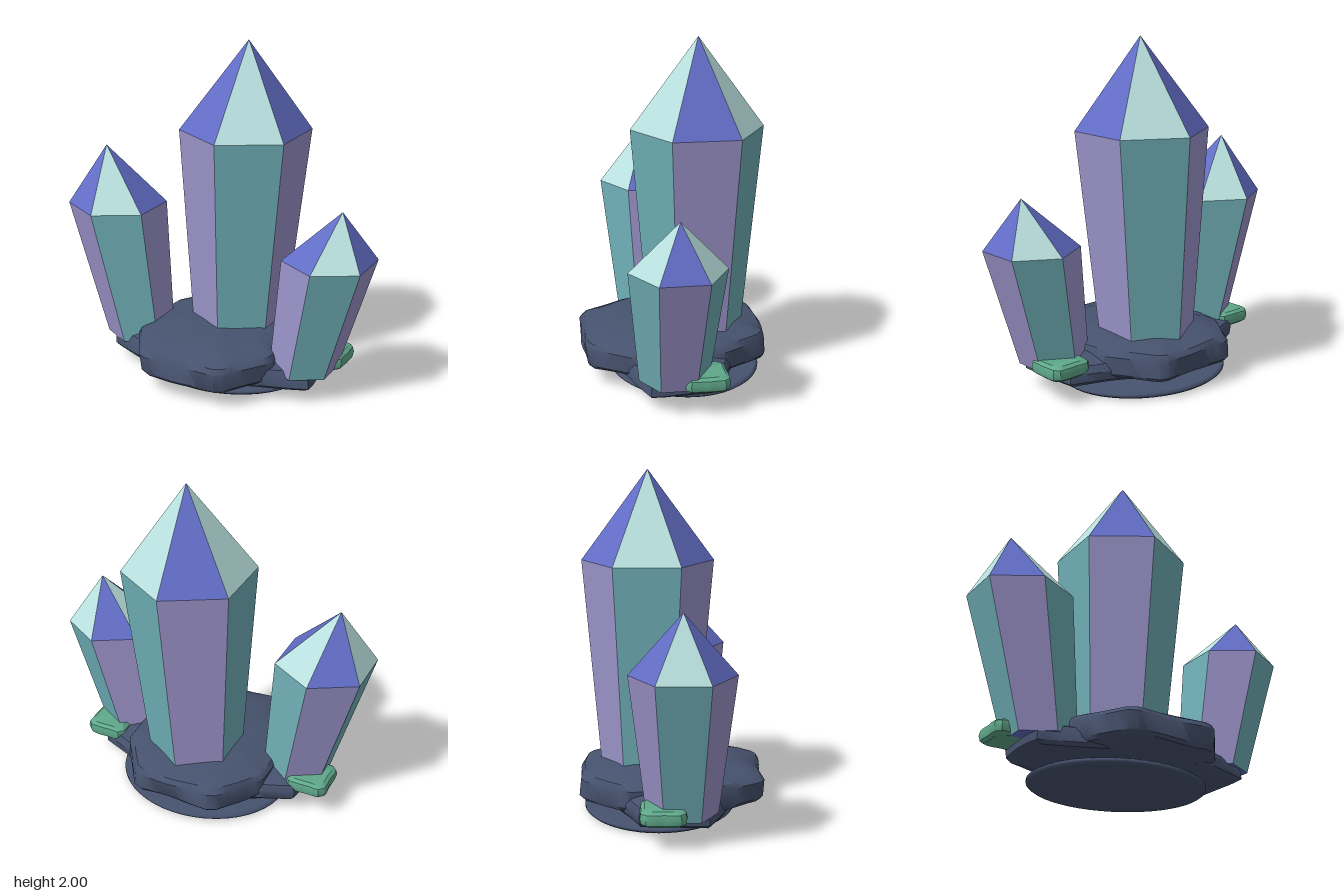
import * as THREE from 'three';
import { mergeVertices, toCreasedNormals } from 'three/addons/utils/BufferGeometryUtils.js';

const paint = (color, flatShading = false) => new THREE.MeshStandardMaterial({ color, flatShading });
const mats = {
  rock: paint(0x46526e), moss: paint(0x5fa88c),
  teal: paint(0x70b0b8, true), violet: paint(0x9d95cc, true),
  pale: paint(0xb8e0de, true), blue: paint(0x626dc6, true),
};

function mesh(name, geometry, material) {
  const m = new THREE.Mesh(geometry, material);
  m.name = name;
  return m;
}

function facets(name, points, material) {
  const g = new THREE.BufferGeometry().setFromPoints(points);
  g.computeVertexNormals();
  return mesh(name, g, material);
}

// Hexagonal crystal: tapered shaft, pointed tip, facets alternating in colour
function crystal(name, base, baseR, shoulder, shoulderR, apex) {
  const group = new THREE.Group();
  group.name = name;
  const ring = ([x, y, z], r) => Array.from({ length: 6 }, (_, k) => {
    const a = k * Math.PI / 3;
    return new THREE.Vector3(x + r * Math.sin(a), y, z + r * Math.cos(a));
  });
  const low = ring(base, baseR), high = ring(shoulder, shoulderR);
  const tip = new THREE.Vector3(...apex), foot = new THREE.Vector3(...base);
  const shaft = [[], []], point = [[], []], bottom = [];
  for (let k = 0; k < 6; k++) {
    const n = (k + 1) % 6, s = k % 2;
    shaft[s].push(low[k], low[n], high[n], low[k], high[n], high[k]);
    point[s].push(high[k], high[n], tip);
    bottom.push(low[n], low[k], foot);
  }
  group.add(
    facets('tealShaftFacets', shaft[0], mats.teal),
    facets('violetShaftFacets', shaft[1], mats.violet),
    facets('paleTipFacets', point[0], mats.pale),
    facets('blueTipFacets', point[1], mats.blue),
    facets('crystalFoot', bottom, mats.blue),
  );
  return group;
}

// Turned profile whose outline is reshaped by a rule outline(angle, y) -> radius
function slab(name, profile, segments, outline, material, crease) {
  const lathe = new THREE.LatheGeometry(profile.map(p => new THREE.Vector2(...p)), segments);
  lathe.deleteAttribute('uv');
  lathe.deleteAttribute('normal');
  const p = lathe.attributes.position;
  for (let i = 0; i < p.count; i++) {
    const x = p.getX(i), y = p.getY(i), z = p.getZ(i);
    const a = Math.atan2(x, z), r = Math.hypot(x, z), s = outline(a, y);
    const bump = 0.01 * r * Math.sin(3 * a + 1) * Math.cos(2 * a + 9 * r);
    p.setXYZ(i, x * s, y + (material === mats.rock ? bump : 0), z * s);
  }
  return mesh(name, toCreasedNormals(mergeVertices(lathe, 1e-4), crease), material);
}

// Radius of an eight-sided outline given its x side, z side and diagonal reach
const octagon = (hx, hz, diagonal, nx, nz) => (a, y) => {
  const s = Math.abs(Math.sin(a)), c = Math.abs(Math.cos(a));
  const r = Math.min(hx / Math.max(s, 1e-6), hz / Math.max(c, 1e-6), diagonal / (s * nx + c * nz));
  return r * (1 + 0.012 * Math.sin(5 * a + 20 * y) + 0.008 * Math.sin(9 * a - 30 * y));
};

export function createModel() {
  const model = new THREE.Group();
  model.name = 'crystalCluster';

  // Rock base: thin disc, wide lower boulder, tall upper boulder
  const disc = mesh('baseDisc', new THREE.LatheGeometry(
    [[0, 0], [0.97, 0.004], [1, 0.015], [1, 0.028], [0.97, 0.04], [0, 0.05]].map(p => new THREE.Vector2(...p)), 48), mats.rock);
  disc.scale.set(0.52, 1, 0.445);
  disc.position.set(0.01, 0, -0.075);
  const lower = slab('lowerBoulder',
    [[0, 0.04], [0.4, 0.04], [0.7, 0.05], [0.96, 0.08], [1, 0.1], [1, 0.15], [0.95, 0.19], [0.6, 0.24], [0, 0.25]],
    64, octagon(0.65, 0.34, 0.34, 0.3, 0.75), mats.rock, 0.6);
  lower.position.set(0.01, 0, 0.01);
  const upper = slab('upperBoulder',
    [[0, 0.04], [0.5, 0.045], [0.8, 0.08], [0.97, 0.11], [1, 0.13], [1, 0.23], [0.96, 0.26], [0.8, 0.29], [0.58, 0.315], [0, 0.315]],
    64, octagon(0.45, 0.53, 0.5, 0.8, 0.56), mats.rock, 0.6);
  model.add(disc, lower, upper);

  // Three crystals
  model.add(
    crystal('mainCrystal', [0.035, 0.15, -0.14], 0.27, [0.075, 1.475, -0.14], 0.387, [0.09, 2, -0.14]),
    crystal('rightCrystal', [-0.545, 0.145, 0.055], 0.203, [-0.695, 0.965, 0.055], 0.296, [-0.765, 1.315, 0.055]),
    crystal('leftCrystal', [0.567, 0.155, 0.065], 0.2, [0.712, 0.85, 0.065], 0.274, [0.78, 1.145, 0.065]),
  );

  // Moss pads behind the side crystals
  const pad = [[0, -0.045], [0.8, -0.045], [0.95, -0.03], [1, 0], [0.95, 0.03], [0.8, 0.045], [0, 0.045]];
  for (const [name, x, z] of [['leftMoss', 0.65, -0.095], ['rightMoss', -0.68, -0.05]]) {
    const moss = slab(name, pad, 48, octagon(0.13, 0.13, 0.16, 0.71, 0.71), mats.moss, 0.6);
    moss.position.set(x, 0.19, z);
    model.add(moss);
  }
  return model;
}
